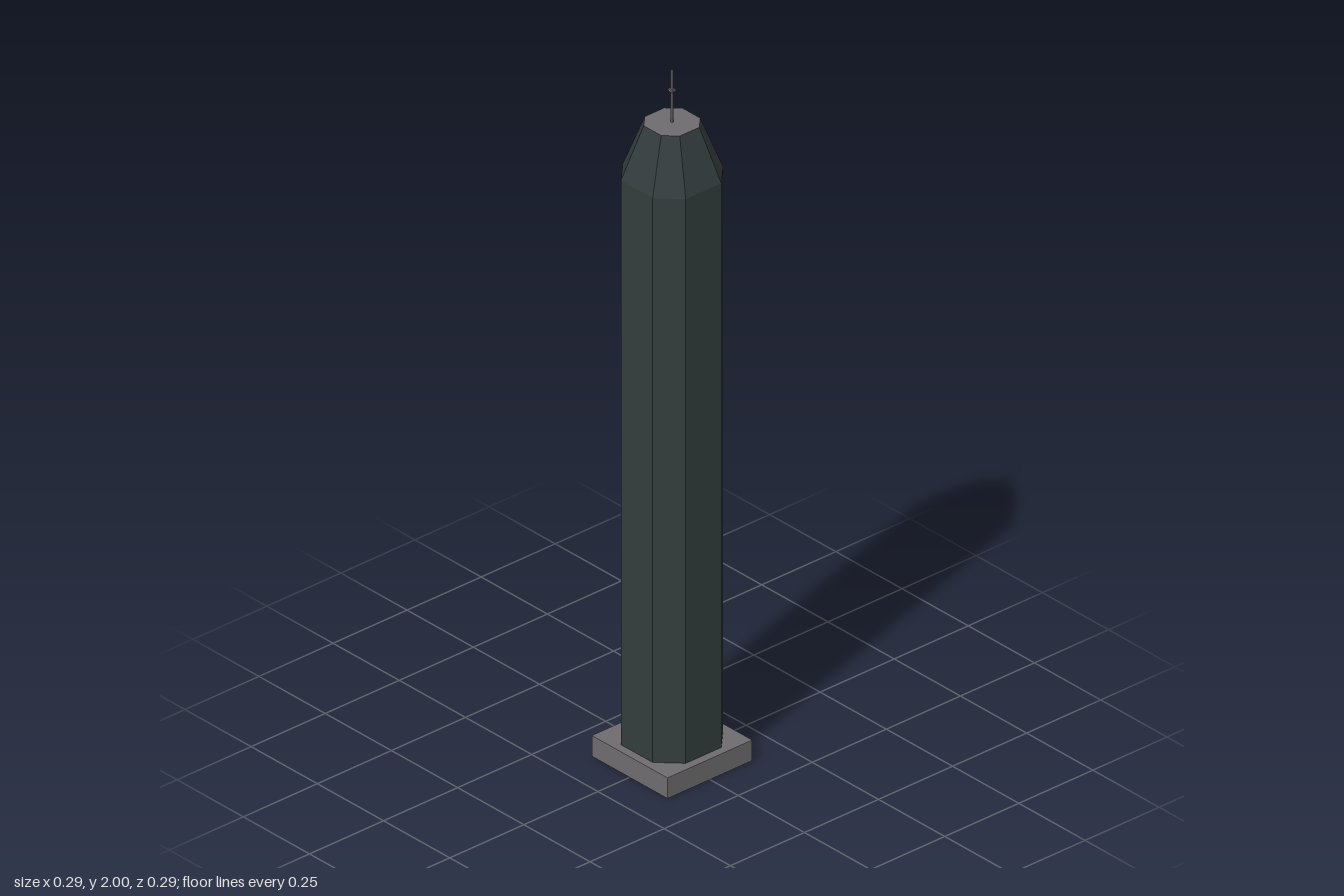
import * as THREE from 'three';

const glass = new THREE.MeshStandardMaterial({ color: 0x333c3d, side: THREE.DoubleSide });
glass.name = 'darkGlass';
const concrete = new THREE.MeshStandardMaterial({ color: 0x6e6c6e, side: THREE.DoubleSide });
concrete.name = 'greyConcrete';

// Square ring with cut corners: h is the half width, c the half length of each flat side
const ring = (h, c, y) => [[c, h], [h, c], [h, -c], [c, -h], [-c, -h], [-h, -c], [-h, c], [-c, h]]
  .map(([x, z]) => [x, y, z]);

// Unshared triangles keep every facet flat
function facets(triangles) {
  const geometry = new THREE.BufferGeometry();
  geometry.setAttribute('position', new THREE.Float32BufferAttribute(triangles.flat(2), 3));
  geometry.computeVertexNormals();
  return geometry;
}

function walls(lower, upper) {
  const triangles = [];
  for (let i = 0; i < lower.length; i++) {
    const j = (i + 1) % lower.length;
    triangles.push([lower[i], lower[j], upper[j]], [lower[i], upper[j], upper[i]]);
  }
  return facets(triangles);
}

function cap(points) {
  const centre = [0, points[0][1], 0];
  return facets(points.map((p, i) => [centre, p, points[(i + 1) % points.length]]));
}

export function createModel() {
  const group = new THREE.Group();
  group.name = 'tower';
  const add = (name, geometry, material, y = 0) => {
    const mesh = new THREE.Mesh(geometry, material);
    mesh.name = name;
    mesh.position.y = y;
    group.add(mesh);
  };

  // Plinth, open underneath
  const plinth = new THREE.BoxGeometry(0.286, 0.06, 0.286);
  const index = Array.from(plinth.index.array);
  index.splice(18, 6);
  plinth.setIndex(index);
  plinth.clearGroups();
  add('plinth', plinth, concrete, 0.03);

  // Eight-sided shaft, tapered crown and flat roof
  const foot = ring(0.119, 0.06, 0.06);
  const shoulder = ring(0.119, 0.06, 1.7);
  const top = ring(0.066, 0.033, 1.85);
  add('shaft', walls(foot, shoulder), glass);
  add('crown', walls(shoulder, top), glass);
  add('roof', cap(top), concrete);

  // Mast with a small collar
  add('mast', new THREE.BoxGeometry(0.006, 0.15, 0.006), concrete, 1.925);
  add('mastCollar', new THREE.BoxGeometry(0.014, 0.006, 0.014), concrete, 1.943);

  return group;
}
